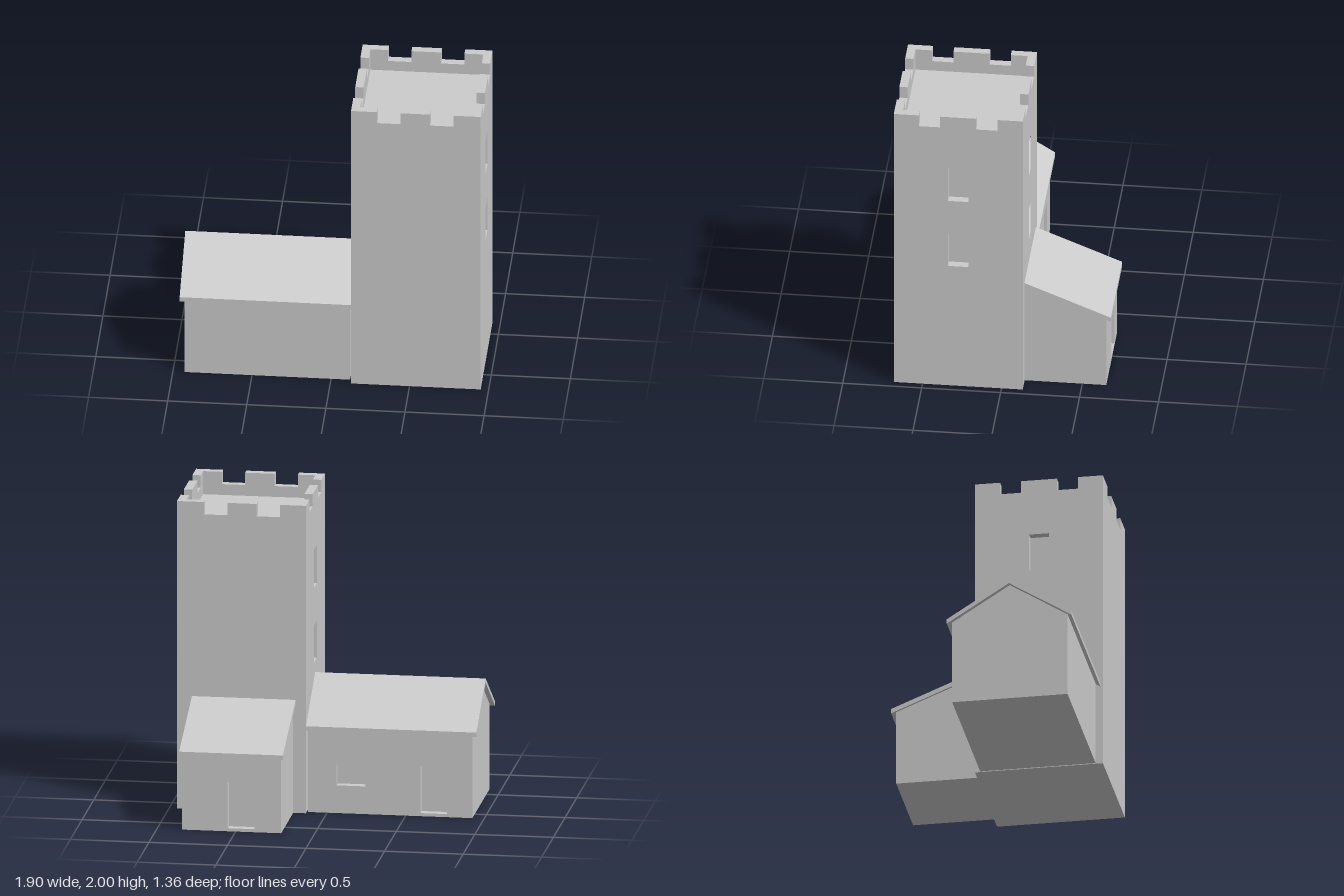
import * as THREE from 'three';

const grey = new THREE.MeshStandardMaterial({ color: 0xcccccc });
const T = 0.053; // wall thickness and depth of the openings

// Prism from a 2D outline, with rectangular holes [x0, x1, y0, y1]
function prism(name, points, depth, holes = []) {
  const shape = new THREE.Shape(points.map(([x, y]) => new THREE.Vector2(x, y)));
  for (const [x0, x1, y0, y1] of holes) {
    const corners = [[x0, y0], [x0, y1], [x1, y1], [x1, y0]];
    shape.holes.push(new THREE.Path(corners.map(([x, y]) => new THREE.Vector2(x, y))));
  }
  const geometry = new THREE.ExtrudeGeometry(shape, { depth, bevelEnabled: false });
  const mesh = new THREE.Mesh(geometry, grey);
  mesh.name = name;
  return mesh;
}

// Prism running along x from x0 to x1; its outline is given as [z, y]
function prismX(name, profile, x0, x1, holes = []) {
  const flipped = holes.map(([z0, z1, y0, y1]) => [-z1, -z0, y0, y1]);
  const mesh = prism(name, profile.map(([z, y]) => [-z, y]), x1 - x0, flipped);
  mesh.rotation.y = Math.PI / 2;
  mesh.position.x = x0;
  return mesh;
}

function box(name, x0, x1, y0, y1, z0, z1) {
  const mesh = new THREE.Mesh(new THREE.BoxGeometry(x1 - x0, y1 - y0, z1 - z0), grey);
  mesh.name = name;
  mesh.position.set((x0 + x1) / 2, (y0 + y1) / 2, (z0 + z1) / 2);
  return mesh;
}

const rect = (a, b, h) => [[a, 0], [b, 0], [b, h], [a, h]];

// Wall outline with notches cut into its top edge
function battlement(a, b, notches) {
  const points = [[b, 2], [b, 0], [a, 0], [a, 2]];
  for (const [n0, n1] of notches) points.push([n0, 2], [n0, 1.92], [n1, 1.92], [n1, 2]);
  return points;
}

function createTower() {
  const tower = new THREE.Group();
  tower.name = 'tower';
  const [x0, x1, z0, z1] = [0.13, 0.95, -0.135, 0.682];
  tower.add(box('towerCore', x0 + T, x1 - T, 0, 1.85, z0 + T, z1 - T));

  // Front and back walls
  const outline = battlement(x0, x1, [[0.295, 0.443], [0.63, 0.778]]);
  const windows = [[0.49, 0.59, 1.365, 1.62], [0.49, 0.59, 0.895, 1.115]];
  for (const [name, z] of [['frontWall', z1 - T], ['backWall', z0]]) {
    const wall = prism(name, outline, T, windows);
    wall.position.z = z;
    tower.add(wall);
  }

  // Side walls fit between the front and back walls
  const sideOutline = battlement(z0 + T, z1 - T, [[0.025, 0.16], [0.388, 0.523]]);
  const sideWindows = [[0.21, 0.338, 1.375, 1.625], [0.21, 0.338, 0.89, 1.13]];
  for (const [name, x] of [['leftWall', x1 - T], ['rightWall', x0]]) {
    tower.add(prismX(name, sideOutline, x, x + T, sideWindows));
  }
  return tower;
}

function createHall() {
  const hall = new THREE.Group();
  hall.name = 'hall';
  const [x0, x1, z0, z1, ridge] = [-0.925, 0.12, -0.1, 0.637, 0.268];
  const slope = 0.25 / 0.398;
  const under = (z) => 0.785 - slope * Math.abs(z - ridge);

  // Gabled body behind a back wall with window and door recesses
  const profile = [[z0 + T, 0], [z1, 0], [z1, under(z1)], [ridge, under(ridge)], [z0 + T, under(z0 + T)]];
  hall.add(prismX('hallBody', profile, x0, x1));
  const back = prism('hallBackWall', rect(x0, x1, 0.58), T,
    [[-0.245, -0.06, 0.18, 0.315], [-0.765, -0.595, 0.02, 0.325]]);
  back.position.z = z0;
  hall.add(back);

  // Gabled roof slab
  const eaves = [-0.13, ridge, 0.666];
  const roof = [...eaves.map((z) => [z, under(z)]), ...eaves.reverse().map((z) => [z, under(z) + 0.03])];
  hall.add(prismX('hallRoof', roof, -0.955, 0.13));
  return hall;
}

function createShed() {
  const shed = new THREE.Group();
  shed.name = 'shed';
  const [x0, x1, z0, z1] = [0.21, 0.84, -0.652, -0.135];
  const under = (z) => 0.705 + (z - z1) * 0.404;

  // Lean-to body behind a back wall with a door recess
  const profile = [[z0 + T, 0], [z1, 0], [z1, under(z1)], [z0 + T, under(z0 + T)]];
  shed.add(prismX('shedBody', profile, x0, x1));
  const back = prism('shedBackWall', rect(x0, x1, 0.52), T, [[0.38, 0.55, 0.02, 0.32]]);
  back.position.z = z0;
  shed.add(back);

  // Single-pitch roof slab
  const eave = -0.682;
  const roof = [[eave, under(eave)], [z1, under(z1)], [z1, under(z1) + 0.03], [eave, under(eave) + 0.03]];
  shed.add(prismX('shedRoof', roof, 0.195, 0.855));
  return shed;
}

export function createModel() {
  const model = new THREE.Group();
  model.name = 'towerHouse';
  model.add(createTower(), createHall(), createShed());
  return model;
}
